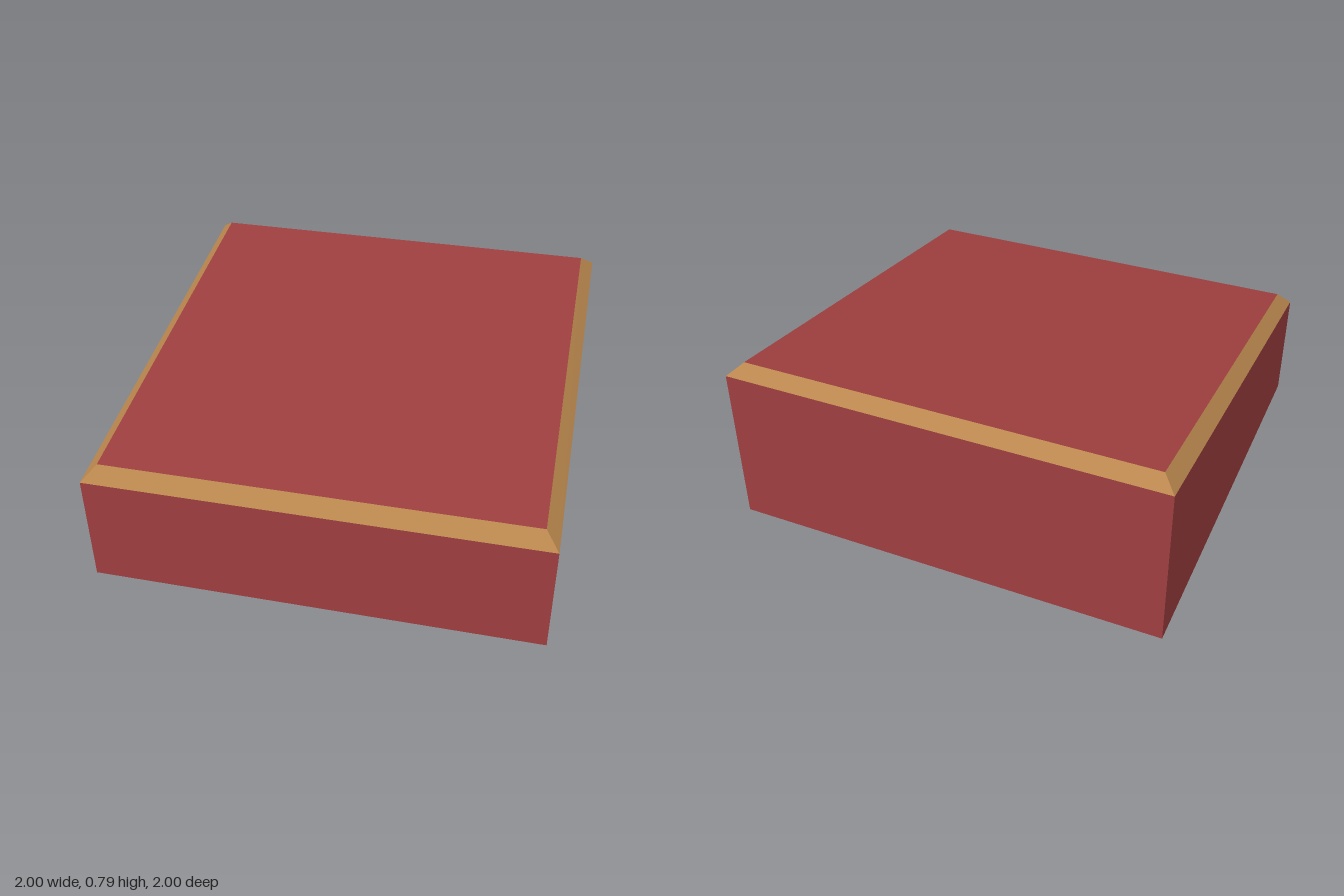
import * as THREE from 'three';

// Square ring of four corners whose height slopes from front to back
const ring = (half, yFront, yBack) => [
  [-half, yFront, half], [half, yFront, half], [half, yBack, -half], [-half, yBack, -half],
];

// Flat-faced mesh from quads, each corner listed counter-clockwise from outside
function quadMesh(name, quads, material) {
  const positions = quads.flatMap(([a, b, c, d]) => [a, b, c, a, c, d].flat());
  const geometry = new THREE.BufferGeometry();
  geometry.setAttribute('position', new THREE.Float32BufferAttribute(positions, 3));
  geometry.computeVertexNormals();
  const mesh = new THREE.Mesh(geometry, material);
  mesh.name = name;
  return mesh;
}

// Band of four quads joining two rings
const band = (lower, upper) => lower.map((corner, i) => {
  const j = (i + 1) % 4;
  return [corner, lower[j], upper[j], upper[i]];
});

export function createModel() {
  const red = new THREE.MeshStandardMaterial({ color: 0x9e3e3f, side: THREE.DoubleSide });
  red.name = 'red';
  const tan = new THREE.MeshStandardMaterial({ color: 0xb9864d, side: THREE.DoubleSide });
  tan.name = 'tan';

  const base = ring(1, 0, 0);
  const shoulder = ring(1, 0.52, 0.737);
  const rim = ring(0.94, 0.583, 0.788);

  // Hollow wedge, open underneath
  const group = new THREE.Group();
  group.name = 'slopedBlock';
  group.add(
    quadMesh('walls', band(base, shoulder), red),
    quadMesh('bevelTrim', band(shoulder, rim), tan),
    quadMesh('slopedTop', [rim], red),
  );
  return group;
}
